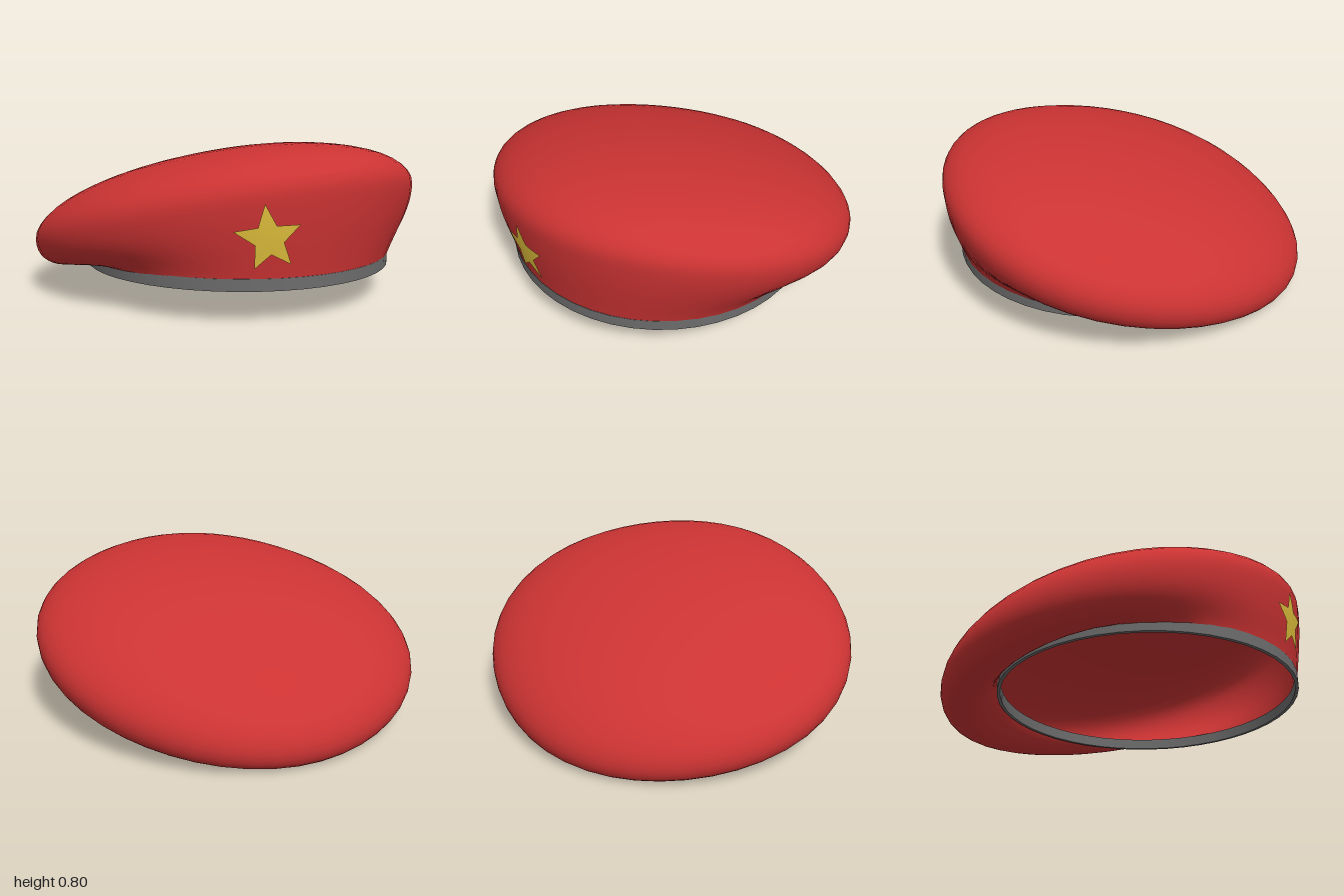
import * as THREE from 'three';
import { mergeVertices, toCreasedNormals } from 'three/addons/utils/BufferGeometryUtils.js';

const BAND = { x: 0.1, z: 0.07, r: 0.81, top: 0.21, bottom: 0.157, tilt: 0.014 };
const DOME_HEIGHT = 0.345;
const mix = THREE.MathUtils.lerp;

// slanted plane through the widest line of the crown
const slant = (x, z) => 0.375 + 0.225 * x + 0.134 * z;

// widest outline of the crown: a slightly skewed circle
function rim(angle) {
  const s = Math.sin(2 * angle);
  const r = 1 - 0.034 * s + 0.02 * s * s;
  const x = r * Math.cos(angle), z = 0.97 * r * Math.sin(angle);
  return new THREE.Vector3(x, slant(x, z), z);
}

// upper dome, t = 0 at the middle and 1 at the rim
function domePoint(angle, t) {
  const a = t * Math.PI / 2, p = rim(angle);
  const x = p.x * Math.sin(a), z = p.z * Math.sin(a);
  return new THREE.Vector3(x, slant(x, z) + DOME_HEIGHT * Math.cos(a), z);
}

// side and underside, t = 0 at the rim and 1 at the band; sags on the low side
function sidePoint(angle, t) {
  const c = Math.cos(angle), s = Math.sin(angle);
  const p0 = rim(angle);
  const p3 = new THREE.Vector3(BAND.x + BAND.r * c, 0, BAND.z + BAND.r * s);
  p3.y = BAND.top - 0.01 + BAND.tilt * p3.z;
  const sag = Math.min(0.1, -0.24 + 0.9 * (p0.y - 0.11));
  const p1 = p0.clone().setY(p0.y - 0.16);
  const p2 = new THREE.Vector3(mix(p3.x, p0.x, 0.25), p3.y + sag, mix(p3.z, p0.z, 0.25));
  return new THREE.CubicBezierCurve3(p0, p1, p2, p3).getPoint(t);
}

function crownGeometry() {
  const around = 48, domeRows = 14, sideRows = 14, rows = domeRows + sideRows;
  const pos = [], index = [];
  for (let i = 0; i <= rows; i++) {
    for (let j = 0; j < around; j++) {
      const angle = j / around * Math.PI * 2;
      const p = i <= domeRows ? domePoint(angle, i / domeRows) : sidePoint(angle, (i - domeRows) / sideRows);
      pos.push(p.x, p.y, p.z);
      if (i === rows) continue;
      const k = (j + 1) % around;
      const a = i * around + j, b = i * around + k, c = a + around, d = b + around;
      if (i > 0) index.push(a, b, c);
      index.push(b, d, c);
    }
  }
  let g = new THREE.BufferGeometry();
  g.setAttribute('position', new THREE.Float32BufferAttribute(pos, 3));
  g.setIndex(index);
  g = mergeVertices(g, 1e-5);
  g.computeVertexNormals();
  return g;
}

// point on the crown's side at a given height, lifted a little outwards
function sideAtHeight(angle, y, lift) {
  let lo = 0, hi = 1;
  for (let i = 0; i < 24; i++) {
    const m = (lo + hi) / 2;
    if (sidePoint(angle, m).y > y) lo = m; else hi = m;
  }
  const p = sidePoint(angle, lo);
  return p.add(new THREE.Vector3(Math.cos(angle) * lift, 0, Math.sin(angle) * lift));
}

// five-pointed star wrapped onto the side
function starGeometry() {
  const centre = 0.98, height = 0.415, roll = 0.08, rings = 5, steps = 4;
  const outline = [];
  const corner = (k) => {
    const r = k % 2 ? 0.072 : 0.162, a = Math.PI / 2 + roll + k * Math.PI / 5;
    return new THREE.Vector2(r * Math.cos(a), r * Math.sin(a));
  };
  for (let k = 0; k < 10; k++)
    for (let s = 0; s < steps; s++) outline.push(corner(k).lerp(corner(k + 1), s / steps));
  const n = outline.length, pos = [], index = [];
  for (let i = 0; i <= rings; i++) {
    for (let j = 0; j < n; j++) {
      const q = outline[j].clone().multiplyScalar(i / rings);
      const p = sideAtHeight(centre - q.x / 0.95, height + q.y, 0.009);
      pos.push(p.x, p.y, p.z);
      if (i === rings) continue;
      const k = (j + 1) % n, a = i * n + j, b = i * n + k;
      if (i > 0) index.push(a, a + n, b);
      index.push(b, a + n, b + n);
    }
  }
  let g = new THREE.BufferGeometry();
  g.setAttribute('position', new THREE.Float32BufferAttribute(pos, 3));
  g.setIndex(index);
  g = mergeVertices(g, 1e-5);
  g.computeVertexNormals();
  return g;
}

// thin ring with a square section
function bandGeometry() {
  const o = BAND.r + 0.004, i = BAND.r - 0.014, b = BAND.bottom, t = BAND.top + 0.006;
  const profile = [[i, b], [o, b], [o, t], [i, t], [i, b]].map(([x, y]) => new THREE.Vector2(x, y));
  const g = new THREE.LatheGeometry(profile, 48);
  g.translate(BAND.x, 0, BAND.z);
  const p = g.attributes.position;
  for (let k = 0; k < p.count; k++) p.setY(k, p.getY(k) + BAND.tilt * p.getZ(k));
  return toCreasedNormals(g, 0.6);
}

export function createModel() {
  const material = (name, color, side = THREE.FrontSide) => {
    const m = new THREE.MeshStandardMaterial({ color, side });
    m.name = name;
    return m;
  };
  const red = material('red felt', 0xcc3333, THREE.DoubleSide);
  const grey = material('grey band', 0x6c6c6c, THREE.DoubleSide);
  const gold = material('gold', 0xe0c03c, THREE.DoubleSide);

  const group = new THREE.Group();
  group.name = 'beret';
  const add = (name, geometry, mat) => {
    const mesh = new THREE.Mesh(geometry, mat);
    mesh.name = name;
    group.add(mesh);
  };
  add('crown', crownGeometry(), red);
  add('headBand', bandGeometry(), grey);
  add('starBadge', starGeometry(), gold);
  return group;
}
